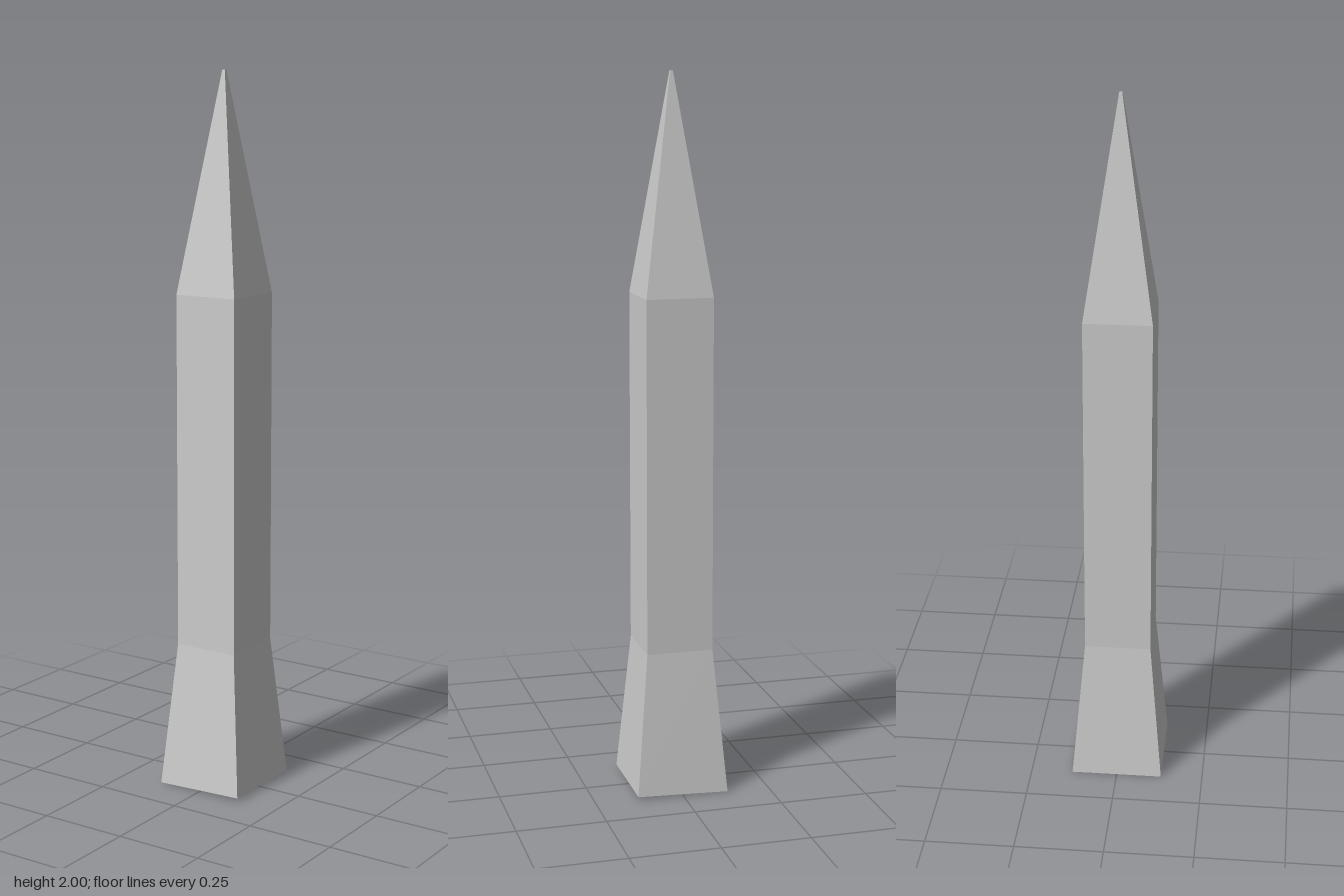
import * as THREE from 'three';

const material = new THREE.MeshStandardMaterial({ color: 0xcccccc, flatShading: true });

// Square tapering section between two heights, given half-widths at each end
function section(name, y0, half0, y1, half1) {
  const geo = new THREE.CylinderGeometry(half1 * Math.SQRT2, half0 * Math.SQRT2, y1 - y0, 4, 1, true, Math.PI / 4);
  geo.translate(0, (y0 + y1) / 2, 0);
  const mesh = new THREE.Mesh(geo, material);
  mesh.name = name;
  return mesh;
}

// Square end cap, facing up or down
function cap(name, y, half, up) {
  const geo = new THREE.PlaneGeometry(half * 2, half * 2);
  geo.rotateX(up ? -Math.PI / 2 : Math.PI / 2);
  geo.translate(0, y, 0);
  const mesh = new THREE.Mesh(geo, material);
  mesh.name = name;
  return mesh;
}

// The underside is cut at a slight slant, a little higher on the +x side
function slantBottom(mesh) {
  const p = mesh.geometry.attributes.position;
  for (let i = 0; i < p.count; i++) {
    if (p.getY(i) < 0.05) p.setY(i, 0.005 + p.getX(i) * 0.038);
  }
  mesh.geometry.computeVertexNormals();
  return mesh;
}

export function createModel() {
  const group = new THREE.Group();
  group.name = 'obelisk';
  group.add(
    slantBottom(section('flaredBase', 0, 0.13, 0.41, 0.094)),
    slantBottom(cap('underside', 0, 0.13, false)),
    section('shaft', 0.41, 0.094, 1.4, 0.094),
    section('spire', 1.4, 0.094, 2, 0.004),
    cap('tip', 2, 0.004, true),
  );
  return group;
}
